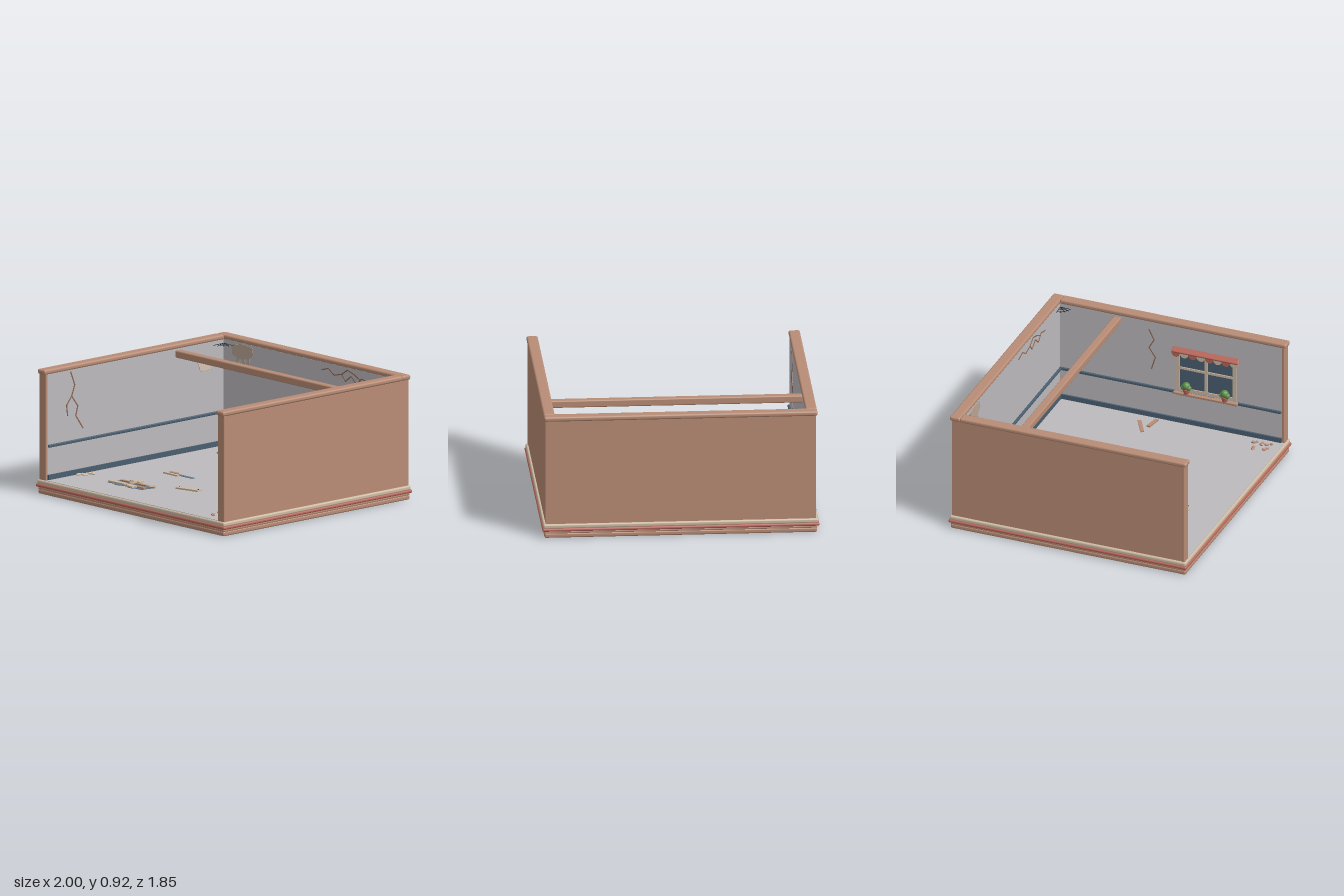
import * as THREE from 'three';
import { RoundedBoxGeometry } from 'three/addons/geometries/RoundedBoxGeometry.js';

const paint = (name, color, side = THREE.FrontSide) => {
  const m = new THREE.MeshStandardMaterial({ color, side });
  m.name = name;
  return m;
};

export function createModel() {
  const timber = paint('timber brown', 0xb88c75);
  const plaster = paint('plaster grey', 0xbdbabd);
  const cream = paint('cream', 0xcdbaa2, THREE.DoubleSide);
  const red = paint('faded red', 0xb8665b, THREE.DoubleSide);
  const slate = paint('slate blue', 0x4a5f70);
  const water = paint('dull blue', 0x5f788a);
  const leaf = paint('leaf green', 0x5f9048);
  const iron = paint('dark iron', 0x2a3036);
  const stain = paint('stain tan', 0xb9a595);
  const crackBrown = paint('crack brown', 0x8d6a58);

  const root = new THREE.Group();
  root.name = 'abandonedRoom';

  let seed = 7;
  const rand = () => (seed = (seed * 16807) % 2147483647) / 2147483647;

  const add = (parent, name, geo, mat, x = 0, y = 0, z = 0) => {
    const mesh = new THREE.Mesh(geo, mat);
    mesh.name = name;
    mesh.position.set(x, y, z);
    parent.add(mesh);
    return mesh;
  };
  // Box given by its min and max corners; r rounds the edges
  const box = (parent, name, mat, x0, x1, y0, y1, z0, z1, r = 0) => {
    const s = [x1 - x0, y1 - y0, z1 - z0];
    const geo = r ? new RoundedBoxGeometry(...s, 3, r) : new THREE.BoxGeometry(...s);
    return add(parent, name, geo, mat, (x0 + x1) / 2, (y0 + y1) / 2, (z0 + z1) / 2);
  };
  const frame = (name, x, y, z, rx, ry) => {
    const g = new THREE.Group();
    g.name = name;
    g.position.set(x, y, z);
    g.rotation.set(rx, ry, 0);
    root.add(g);
    return g;
  };
  // Thin plate from an outline
  const plate = (parent, name, mat, pts, z = 0, depth = 0.004) => {
    const shape = new THREE.Shape(pts.map(p => new THREE.Vector2(...p)));
    return add(parent, name, new THREE.ExtrudeGeometry(shape, { depth, bevelEnabled: false }), mat, 0, 0, z);
  };
  // Thin line of flat strips along a path
  const line = (parent, name, mat, pts, w = 0.008, d = 0.004) => {
    for (let i = 1; i < pts.length; i++) {
      const [ax, ay] = pts[i - 1], [bx, by] = pts[i];
      const len = Math.hypot(bx - ax, by - ay) + w * 0.5;
      const m = add(parent, name, new THREE.BoxGeometry(len, w, d), mat, (ax + bx) / 2, (ay + by) / 2, d / 2);
      m.rotation.z = Math.atan2(by - ay, bx - ax);
    }
  };

  // Stepped base and floor
  box(root, 'baseLower', timber, -0.985, 0.985, 0, 0.036, -0.915, 0.915, 0.012);
  box(root, 'baseMiddle', timber, -0.985, 0.985, 0.032, 0.052, -0.915, 0.915, 0.008);
  box(root, 'baseRedBand', red, -1, 1, 0.05, 0.074, -0.927, 0.927, 0.011);
  box(root, 'baseCreamRim', cream, -0.993, 0.993, 0.07, 0.104, -0.92, 0.92, 0.012);
  box(root, 'floor', plaster, -0.918, 0.918, 0.09, 0.107, -0.848, 0.905);

  // Walls, plaster linings, caps and front posts
  box(root, 'backWall', timber, -0.976, 0.976, 0.1, 0.89, -0.906, -0.85);
  box(root, 'backLining', plaster, -0.92, 0.92, 0.1, 0.888, -0.85, -0.843);
  box(root, 'backCap', timber, -0.987, 0.987, 0.884, 0.92, -0.922, -0.84, 0.014);
  for (const s of [-1, 1]) {
    const side = (name, mat, a, b, ...rest) =>
      box(root, name, mat, Math.min(s * a, s * b), Math.max(s * a, s * b), ...rest);
    side('sideWall', timber, 0.92, 0.976, 0.1, 0.89, -0.9, 0.89);
    side('sideLining', plaster, 0.914, 0.92, 0.1, 0.888, -0.85, 0.887);
    side('sideCap', timber, 0.905, 0.987, 0.884, 0.92, -0.845, 0.92, 0.014);
    side('frontPost', timber, 0.91, 0.981, 0.1, 0.888, 0.884, 0.906, 0.006);
    side('sideSkirting', slate, 0.9, 0.914, 0.105, 0.143, -0.843, 0.885);
    side('sideRail', slate, 0.897, 0.914, 0.344, 0.366, -0.843, 0.885, 0.006);
  }
  box(root, 'backSkirting', slate, -0.914, 0.914, 0.105, 0.143, -0.843, -0.829);
  box(root, 'backRail', slate, -0.914, 0.914, 0.344, 0.366, -0.843, -0.826, 0.006);
  box(root, 'ceilingBeam', timber, -0.916, 0.916, 0.82, 0.874, -0.424, -0.366, 0.01);

  // Surface frames: local x runs along the surface, local z points into the room
  const back = frame('backWallDetails', 0, 0, -0.843, 0, 0);
  const left = frame('minusXWallDetails', -0.914, 0, 0, 0, Math.PI / 2);
  const right = frame('plusXWallDetails', 0.914, 0, 0, 0, -Math.PI / 2);
  const floor = frame('floorDetails', 0, 0.107, 0, -Math.PI / 2, 0);

  // Damp stain with drips
  plate(back, 'dampStain', stain, [[-0.83, 0.86], [-0.82, 0.79], [-0.775, 0.775], [-0.77, 0.71], [-0.755, 0.71], [-0.75, 0.77],
    [-0.715, 0.765], [-0.71, 0.68], [-0.695, 0.68], [-0.69, 0.77], [-0.66, 0.775], [-0.655, 0.73], [-0.645, 0.73],
    [-0.64, 0.785], [-0.6, 0.82], [-0.61, 0.87], [-0.72, 0.88]], 0, 0.003);

  // Cracks
  line(back, 'backCrack', crackBrown, [[0.13, 0.83], [0.2, 0.85], [0.26, 0.81], [0.34, 0.83], [0.38, 0.785], [0.44, 0.83], [0.5, 0.78], [0.55, 0.83], [0.63, 0.81]]);
  line(back, 'backCrackBranch', crackBrown, [[0.34, 0.83], [0.4, 0.87], [0.47, 0.85], [0.53, 0.82]]);
  line(back, 'lowCrack', timber, [[-0.59, 0.15], [-0.575, 0.2], [-0.52, 0.215], [-0.51, 0.265], [-0.46, 0.28]]);
  line(left, 'sideCrack', crackBrown, [[-0.66, 0.87], [-0.62, 0.77], [-0.65, 0.69], [-0.59, 0.61], [-0.61, 0.54], [-0.54, 0.44]]);
  line(left, 'sideCrackBranch', crackBrown, [[-0.65, 0.69], [-0.7, 0.63], [-0.69, 0.55]]);
  line(right, 'sideCrack', crackBrown, [[-0.15, 0.82], [-0.11, 0.74], [-0.15, 0.67], [-0.1, 0.6], [-0.13, 0.5]]);

  // Loose sheets hanging off the walls
  const sheet = add(back, 'loosePaper', new THREE.BoxGeometry(0.072, 0.1, 0.004), cream, -0.757, 0.29, 0.02);
  sheet.rotation.x = -0.25;
  const peel = add(left, 'peelingSheet', new THREE.BoxGeometry(0.11, 0.11, 0.004), stain, 0.625, 0.745, 0.024);
  peel.rotation.x = -0.45;

  // Broken patch leaning on the back wall
  const patch = new THREE.Group();
  patch.name = 'brokenPatch';
  patch.position.set(0, 0, 0.018);
  back.add(patch);
  plate(patch, 'patchEdge', timber, [[-0.49, 0.11], [-0.47, 0.13], [-0.485, 0.2], [-0.48, 0.265], [-0.42, 0.268], [-0.36, 0.262], [-0.35, 0.2], [-0.345, 0.14], [-0.335, 0.11]], 0, 0.008);
  plate(patch, 'patchCentre', water, [[-0.465, 0.14], [-0.475, 0.2], [-0.465, 0.258], [-0.365, 0.255], [-0.36, 0.2], [-0.365, 0.13]], 0.008);

  // Corner cobwebs near the top
  for (const s of [-1, 1]) {
    const web = frame('cobweb', s * 0.912, 0.855, -0.841, -Math.PI / 2, 0);
    const at = (r, a) => [-s * r * Math.cos(a), -r * Math.sin(a)];
    const angles = [0.06, 0.42, 0.79, 1.15, 1.51];
    angles.forEach(a => line(web, 'webThread', iron, [[0, 0], at(s < 0 ? 0.11 : 0.085, a)], 0.003, 0.003));
    for (const r of [0.04, 0.075]) line(web, 'webRing', iron, angles.map(a => at(r, a)), 0.003, 0.003);
  }

  // Shop window with awning and sill
  box(right, 'windowPane', slate, 0.08, 0.52, 0.38, 0.68, 0, 0.006);
  for (const x of [0.08, 0.3, 0.52]) box(right, 'windowUpright', cream, x - 0.012, x + 0.012, 0.37, 0.69, 0, 0.016);
  for (const y of [0.39, 0.56, 0.68]) box(right, 'windowCrossbar', cream, 0.07, 0.53, y - 0.009, y + 0.009, 0, 0.014);
  box(right, 'windowSill', timber, 0.05, 0.55, 0.348, 0.366, 0, 0.038, 0.004);
  const awning = box(right, 'awning', red, 0.04, 0.56, 0.699, 0.717, -0.004, 0.044, 0.007);
  awning.rotation.x = 0.55;
  for (let i = 0; i < 8; i++) {
    const x = 0.0725 + i * 0.065;
    add(right, 'awningScallop', new THREE.CircleGeometry(0.0325, 12, Math.PI, Math.PI), i % 2 ? cream : red, x, 0.692, 0.038);
    box(right, 'awningStripe', i % 2 ? cream : red, x - 0.0325, x + 0.0325, 0.688, 0.7, 0.034, 0.038);
  }

  // Potted plants on the sill
  for (const x of [0.15, 0.45]) {
    add(right, 'flowerPot', new THREE.CylinderGeometry(0.026, 0.019, 0.038, 14), red, x, 0.383, 0.024);
    [[0, 0.428, 0.03], [-0.02, 0.415, 0.021], [0.02, 0.415, 0.021]].forEach(([dx, y, r]) =>
      add(right, 'plantLeaves', new THREE.SphereGeometry(r, 12, 8), leaf, x + dx, y, 0.028));
  }

  // Puddle and bucket
  const blob = [];
  for (let i = 0; i < 28; i++) {
    const a = i / 28 * Math.PI * 2, r = 1 + 0.07 * Math.sin(3 * a + 1);
    blob.push([-0.68 + 0.1 * r * Math.cos(a), 0.68 + 0.078 * r * Math.sin(a)]);
  }
  plate(floor, 'puddle', water, blob, 0, 0.003);
  const bucket = frame('bucket', -0.72, 0.107, -0.7, 0, 0);
  const profile = [[0, 0], [0.036, 0], [0.046, 0.07], [0.05, 0.07], [0.05, 0.076], [0.042, 0.076], [0.033, 0.008], [0, 0.008]];
  add(bucket, 'bucketBody', new THREE.LatheGeometry(profile.map(p => new THREE.Vector2(...p)), 20), slate);
  const hoop = add(bucket, 'bucketHandle', new THREE.TorusGeometry(0.044, 0.003, 6, 16, Math.PI), iron, 0, 0.07, 0);
  hoop.rotation.x = 0.2;
  const rim = add(bucket, 'bucketRim', new THREE.TorusGeometry(0.047, 0.004, 6, 24), iron, 0, 0.074, 0);
  rim.rotation.x = Math.PI / 2;

  // Holes in the floor (local y is -z)
  plate(floor, 'floorHole', water, [[-0.56, -0.56], [-0.53, -0.5], [-0.49, -0.51], [-0.45, -0.47], [-0.38, -0.5], [-0.32, -0.48], [-0.26, -0.51],
    [-0.18, -0.51], [-0.2, -0.57], [-0.2, -0.62], [-0.26, -0.62], [-0.31, -0.64], [-0.38, -0.62], [-0.46, -0.645], [-0.5, -0.62], [-0.555, -0.63]].reverse(), 0, 0.003);
  plate(floor, 'narrowHole', water, [[-0.48, -0.1], [-0.23, -0.1], [-0.23, -0.07], [-0.48, -0.07]], 0, 0.003);

  // Loose planks: x, z, length, width, turn, material, height, tilt
  [[-0.44, 0.083, 0.08, 0.028, 0, timber, 0.01, 0], [-0.42, 0.128, 0.155, 0.024, -0.04, cream, 0.012, 0],
    [0.055, 0.395, 0.232, 0.05, 0, cream, 0.018, 0.06], [0.735, -0.14, 0.16, 0.026, 0.52, timber, 0.01, 0],
    [0.81, -0.08, 0.12, 0.028, -0.17, timber, 0.01, 0], [-0.35, 0.52, 0.34, 0.022, 0.02, timber, 0.01, 0],
    [-0.38, 0.59, 0.34, 0.026, 0.03, timber, 0.01, 0], [-0.47, 0.605, 0.17, 0.036, 0.04, cream, 0.014, 0],
    [-0.35, 0.565, 0.08, 0.022, -1.2, cream, 0.026, 0.1], [-0.4, 0.485, 0.095, 0.045, 0.08, cream, 0.016, 0],
    [-0.21, 0.53, 0.055, 0.045, -0.2, cream, 0.02, 0.1], [-0.305, 0.63, 0.08, 0.045, -0.1, cream, 0.018, 0]
  ].forEach(([x, z, len, w, turn, mat, h, tilt]) => {
    const p = add(root, 'loosePlank', new THREE.BoxGeometry(len, 0.011, w), mat, x, 0.104 + h, z);
    p.rotation.set(0, turn, tilt);
  });
  for (const x of [-0.045, 0.155]) add(root, 'nail', new THREE.CylinderGeometry(0.005, 0.005, 0.006, 8), iron, x, 0.128 + 0.06 * (x - 0.055), 0.395);

  // Rubble piles
  const rubble = (name, mat, spots, size) => spots.forEach(([x, z]) => {
    const m = add(root, name, new THREE.DodecahedronGeometry(size * (0.8 + 0.4 * rand())), mat, x, 0.112, z);
    m.scale.set(1.2, 0.7, 0.9);
    m.rotation.y = rand() * 6;
  });
  rubble('creamRubble', cream, [[-0.84, 0.495], [-0.85, 0.53], [-0.825, 0.525], [-0.87, 0.585], [-0.84, 0.585], [-0.88, 0.61], [-0.87, 0.625], [-0.835, 0.6]], 0.015);
  rubble('brownRubble', timber, [[0.74, 0.73], [0.76, 0.725], [0.83, 0.7], [0.845, 0.72], [0.82, 0.765], [0.84, 0.765], [0.76, 0.81], [0.78, 0.825], [0.83, 0.8], [0.85, 0.83]], 0.014);

  return root;
}
